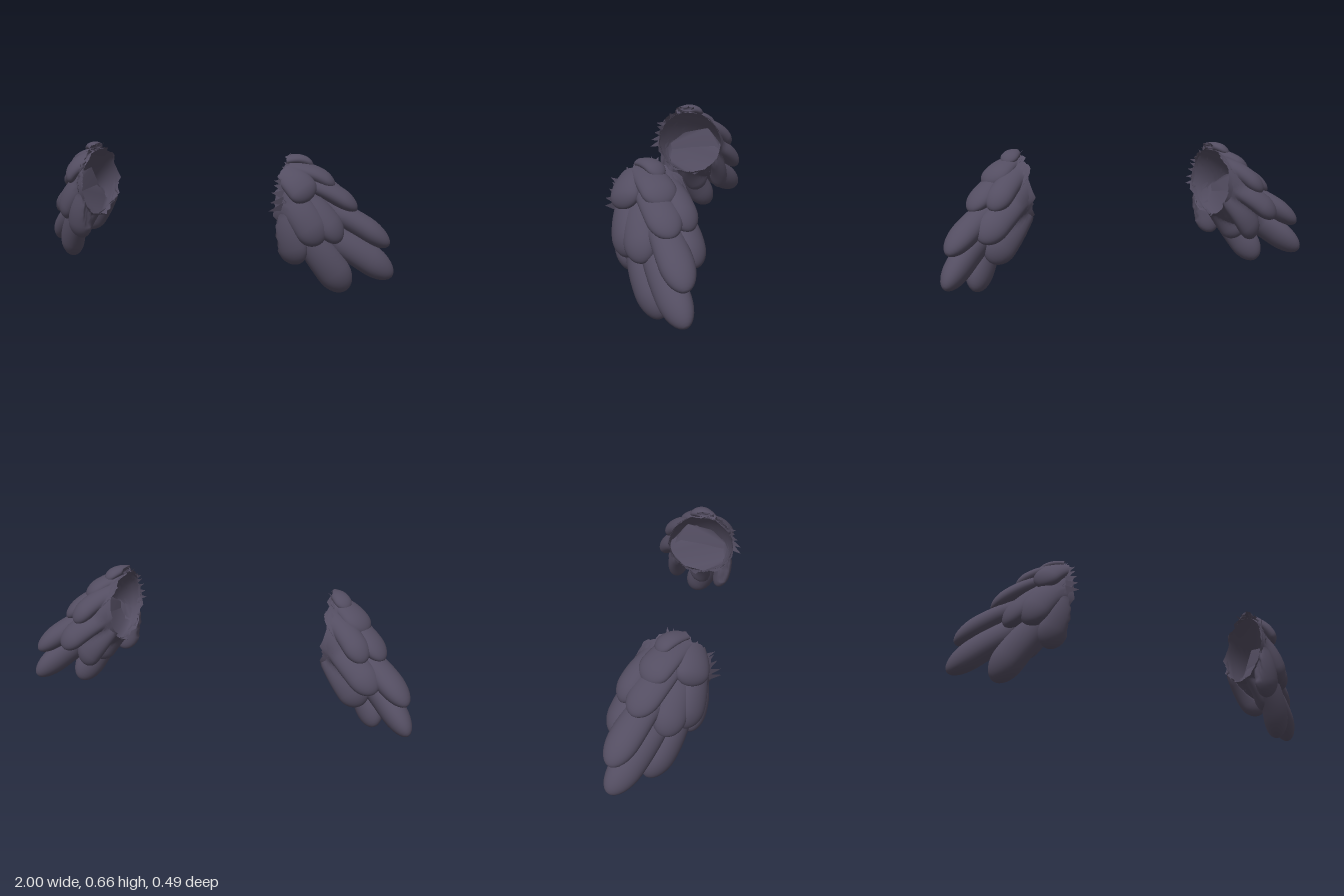
import * as THREE from 'three';
import { mergeVertices } from 'three/addons/utils/BufferGeometryUtils.js';

const plumage = new THREE.MeshStandardMaterial({ color: 0x534d61, side: THREE.DoubleSide });
plumage.name = 'dusky violet';

// repeatable ragged value 0..1
const rag = (n) => { const v = Math.sin(n * 127.1) * 43758.5453; return v - Math.floor(v); };

function smooth(geo) {
  geo.deleteAttribute('normal');
  geo.deleteAttribute('uv');
  const g = mergeVertices(geo, 1e-4);
  g.computeVertexNormals();
  return g;
}

function fromPositions(pos, index) {
  const g = new THREE.BufferGeometry();
  g.setAttribute('position', new THREE.Float32BufferAttribute(pos, 3));
  if (index) g.setIndex(index);
  return smooth(g);
}

// root, tip, width, thickness
const feathers = {
  longLowerFeather: [[0.62, 0.34, 0.03], [0.99, 0.07, -0.20], 0.155, 0.13],
  longBottomFeather: [[0.61, 0.34, 0.09], [0.81, 0.01, -0.06], 0.16, 0.13],
  longUpperFeather: [[0.60, 0.45, 0.01], [0.97, 0.22, -0.195], 0.155, 0.115],
  rearUpperFeather: [[0.56, 0.56, -0.04], [0.755, 0.40, -0.175], 0.13, 0.09],
  rearMiddleFeather: [[0.58, 0.44, -0.09], [0.82, 0.265, -0.205], 0.15, 0.10],
  rearLowerFeather: [[0.57, 0.38, -0.10], [0.75, 0.15, -0.12], 0.15, 0.10],
  undersideFeather: [[0.58, 0.32, 0.02], [0.72, 0.14, -0.02], 0.15, 0.11],
  shoulderFeather: [[0.57, 0.55, 0.06], [0.83, 0.395, -0.115], 0.155, 0.09],
  outerFrontFeather: [[0.58, 0.50, 0.07], [0.80, 0.26, 0.02], 0.155, 0.10],
  innerFrontFeather: [[0.555, 0.50, 0.125], [0.73, 0.255, 0.10], 0.16, 0.10],
  lowFrontFeather: [[0.555, 0.43, 0.15], [0.625, 0.15, 0.11], 0.14, 0.09],
  upperFrontFeather: [[0.54, 0.585, 0.11], [0.68, 0.46, 0.12], 0.16, 0.08],
  topFeather: [[0.54, 0.60, 0.07], [0.73, 0.505, -0.07], 0.16, 0.08],
  crestFeather: [[0.53, 0.63, 0.08], [0.63, 0.60, -0.035], 0.09, 0.05],
};
const core = new THREE.Vector3(0.58, 0.30, 0);

// hollow section at height t (0 rim, 1 bottom): centre and radius
const hollow = (t) => ({ y: 0.445 - 0.17 * t, z: 0.02 - 0.08 * t, r: 0.172 * Math.sqrt(1 - t * t) });

// round-ended paddle with an open root, flat side facing away from the core
function featherGeometry([root, tip, width, thick]) {
  const profile = [];
  for (let i = 0; i <= 8; i++) {
    const s = i / 8;
    profile.push(new THREE.Vector2(0.75 + 0.25 * Math.sin(s * Math.PI / 2), s * 0.7));
  }
  for (let i = 1; i <= 8; i++) {
    const a = i / 8 * Math.PI / 2;
    profile.push(new THREE.Vector2(i === 8 ? 0 : Math.cos(a), 0.7 + 0.3 * Math.sin(a)));
  }
  const geo = new THREE.LatheGeometry(profile, 28);
  const a = new THREE.Vector3(...root), b = new THREE.Vector3(...tip);
  const len = a.distanceTo(b);
  const dir = b.clone().sub(a).normalize();
  const out = a.clone().lerp(b, 0.5).sub(core).projectOnPlane(dir).normalize();
  const side = dir.clone().cross(out);
  const p = geo.attributes.position;
  for (let i = 0; i < p.count; i++) {
    const s = p.getY(i);
    const bow = 0.018 * Math.sin(Math.PI * s);
    p.setXYZ(i, p.getX(i) * width / 2, s * len, p.getZ(i) * thick / 2 + bow);
  }
  geo.applyMatrix4(new THREE.Matrix4().makeBasis(side, dir, out).setPosition(a));
  // trim to a ragged inner edge and keep the hollow clear
  for (let i = 0; i < p.count; i++) {
    const y = p.getY(i), z = p.getZ(i);
    const edge = 0.535 + 0.02 * rag(Math.round(y * 60) + Math.round(z * 60) * 3);
    const x = Math.max(p.getX(i), edge);
    const h = hollow(THREE.MathUtils.clamp((x - 0.56) / 0.22, 0, 1));
    const d = Math.hypot(y - h.y, z - h.z);
    const push = d > 0 && d < h.r ? (h.r + 0.003) / d : 1;
    p.setXYZ(i, x, h.y + (y - h.y) * push, h.z + (z - h.z) * push);
  }
  return smooth(geo);
}

// hollow sleeve joining the feather roots, open and jagged at the inner rim
function sleeveGeometry() {
  const rings = 10, n = 40, pos = [], idx = [];
  for (let r = 0; r <= rings; r++) {
    const t = r / rings, h = hollow(t);
    for (let j = 0; j < n; j++) {
      const a = j / n * Math.PI * 2;
      const jag = r === 0 ? 0.03 * rag(j + 3) : 0;
      pos.push(0.56 + 0.22 * t - jag, h.y + Math.cos(a) * (h.r + jag / 2), h.z + Math.sin(a) * (h.r + jag / 2));
    }
  }
  for (let r = 0; r < rings; r++) {
    for (let j = 0; j < n; j++) {
      const a = r * n + j, b = r * n + (j + 1) % n;
      idx.push(a, b, a + n, b, b + n, a + n);
    }
  }
  return fromPositions(pos, idx);
}

// torn barbs fanning from the top of the opening round to its front
function barbGeometry() {
  const pos = [], count = 11;
  const at = (x, angle, r) => pos.push(x, 0.445 + Math.cos(angle) * r, 0.02 + Math.sin(angle) * r);
  for (let i = 0; i < count; i++) {
    const a = -0.05 + 1.7 * i / (count - 1);
    at(0.58, a - 0.12, 0.17);
    at(0.57, a + 0.12, 0.17);
    at(0.53 + 0.02 * rag(i), a + 0.2 * (rag(i + 9) - 0.5), 0.195 + 0.035 * rag(i + 5));
  }
  return fromPositions(pos);
}

// mirror across x, reversing the corner order so faces stay outward
function mirrored(geo) {
  const g = geo.clone().scale(-1, 1, 1);
  g.index.array.reverse();
  return g;
}

export function createModel() {
  const model = new THREE.Group();
  model.name = 'featherTufts';
  const parts = Object.entries(feathers).map(([name, spec]) => [name, featherGeometry(spec)]);
  parts.push(['hollowSleeve', sleeveGeometry()], ['tornBarbs', barbGeometry()]);
  for (const side of ['left', 'right']) {
    const tuft = new THREE.Group();
    tuft.name = side + 'Tuft';
    for (const [name, geo] of parts) {
      const mesh = new THREE.Mesh(side === 'left' ? geo : mirrored(geo), plumage);
      mesh.name = name;
      tuft.add(mesh);
    }
    model.add(tuft);
  }
  return model;
}
